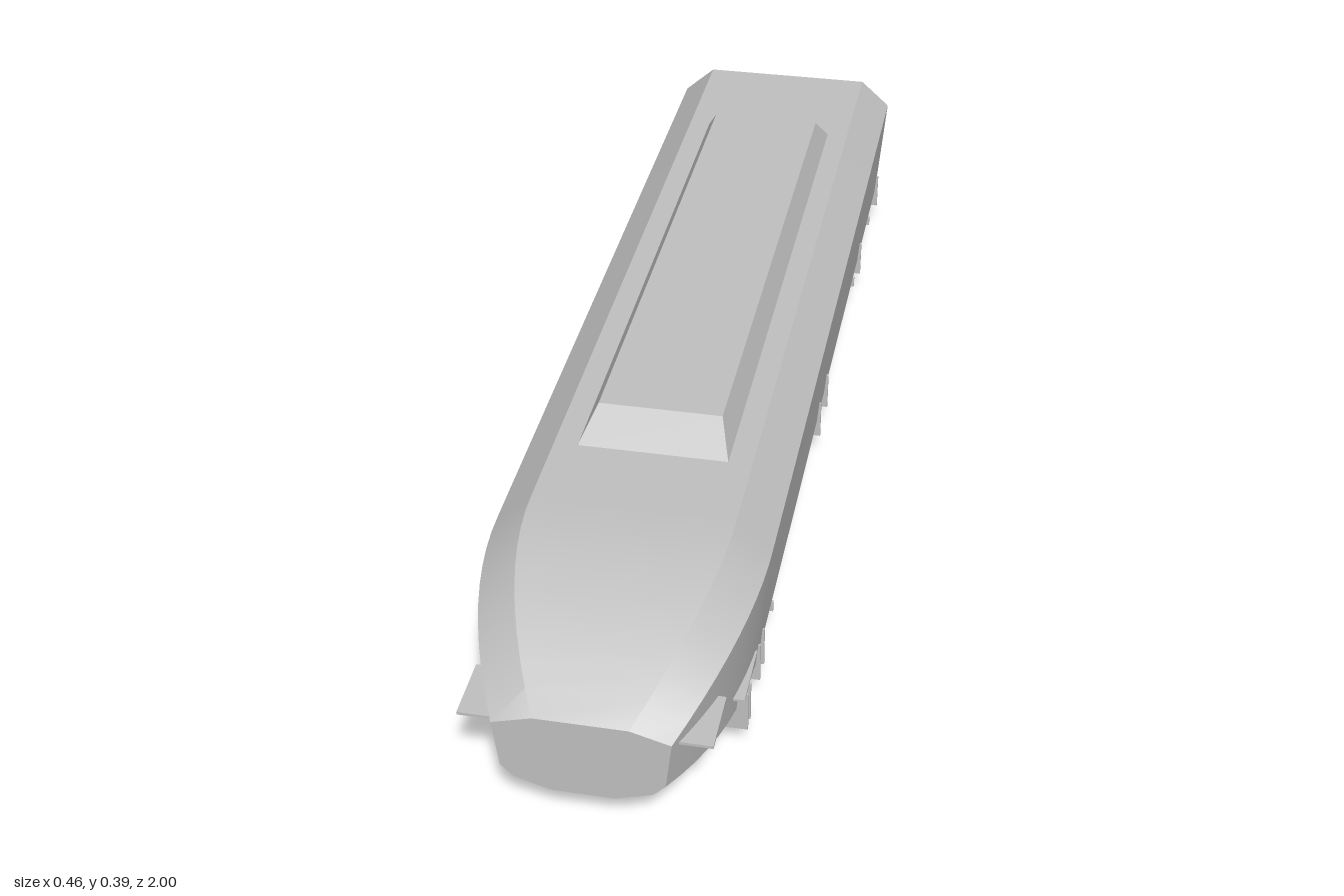
import * as THREE from 'three';
import { toCreasedNormals } from 'three/addons/utils/BufferGeometryUtils.js';

// Skin mirrored cross-sections: each is { z, half: [[x, y], ...] } from bottom to top, z rising
function loft(sections, crease) {
  const pos = [], idx = [];
  const n = sections[0].half.length * 2;
  for (const { z, half } of sections) {
    for (const [x, y] of half) pos.push(x, y, z);
    for (const [x, y] of [...half].reverse()) pos.push(-x, y, z);
  }
  const last = (sections.length - 1) * n;
  for (let i = 0; i < last; i += n) {
    for (let j = 0; j < n; j++) {
      const a = i + j, b = i + (j + 1) % n;
      idx.push(a, b, b + n, a, b + n, a + n);
    }
  }
  for (let j = 1; j < n - 1; j++) {
    idx.push(last, last + j, last + j + 1, 0, j + 1, j);
  }
  const g = new THREE.BufferGeometry();
  g.setAttribute('position', new THREE.Float32BufferAttribute(pos, 3));
  g.setIndex(idx);
  return toCreasedNormals(g, crease);
}

// Thin plate cut from a polygon, centred on its thickness
function plate(points, depth) {
  const shape = new THREE.Shape(points.map(([x, y]) => new THREE.Vector2(x, y)));
  return new THREE.ExtrudeGeometry(shape, { depth, bevelEnabled: false }).translate(0, 0, -depth / 2);
}

export function createModel() {
  const model = new THREE.Group();
  const grey = new THREE.MeshStandardMaterial({ color: 0xc0c0c0 });
  grey.name = 'hull grey';

  const add = (name, geometry, x = 0, y = 0, z = 0) => {
    const mesh = new THREE.Mesh(geometry, grey);
    mesh.name = name;
    mesh.position.set(x, y, z);
    model.add(mesh);
    return mesh;
  };

  // Hull: constant middle, tapering nose, slightly raised stern bottom
  const body = [[0.105, 0], [0.175, 0.04], [0.211, 0.08], [0.23, 0.297], [0.17, 0.35]];
  const nose = [[0.05, 0.085], [0.11, 0.104], [0.13, 0.125], [0.14, 0.211], [0.075, 0.23]];
  const sternLift = [0.025, 0.008, 0, 0, 0];
  const sections = [];
  for (let i = 0; i <= 4; i++) {
    const t = 1 - i / 4;
    sections.push({ z: -0.8 - 0.2 * t, half: body.map(([x, y], k) => [x, y + sternLift[k] * t * t]) });
  }
  for (let i = 0; i <= 10; i++) {
    const t = i / 10, f = Math.pow(t, 2.1);
    sections.push({
      z: 0.62 + 0.38 * t,
      half: body.map(([x, y], k) => [x + (nose[k][0] - x) * f, y + (nose[k][1] - y) * f]),
    });
  }
  add('hull', loft(sections, 0.3));

  // Raised roof housing with sloped ends and sides
  const low = [[0.13, 0.348], [0.13, 0.348]];
  const high = [[0.13, 0.348], [0.107, 0.394]];
  add('roofHousing', loft([
    { z: -0.735, half: low }, { z: -0.695, half: high },
    { z: 0.4, half: high }, { z: 0.47, half: low },
  ], 0.2));

  const bracketZ = [0.77, 0.745, 0.65, 0.61, -0.06, -0.16, -0.68, -0.99];
  for (const s of [1, -1]) {
    const side = s > 0 ? 'left' : 'right';
    const mirror = (pts) => pts.map(([x, y]) => [x * s, y]);

    // Horizontal fins on the nose
    const fin = plate(mirror([[0.13, -0.98], [0.2, -0.98], [0.2, -0.87], [0.16, -0.87]]), 0.005);
    add(side + 'NoseFin', fin.rotateX(-Math.PI / 2), 0, 0.2, 0);

    // Small low fins behind the nose
    const lowFin = plate(mirror([[0.17, -0.8], [0.217, -0.8], [0.217, -0.68], [0.19, -0.68]]), 0.004);
    add(side + 'LowFin', lowFin.rotateX(-Math.PI / 2), 0, 0.132, 0);

    // Triangular brackets along the lower edge
    const bracket = plate(mirror([[0.17, 0.045], [0.218, 0.045], [0.218, 0.12], [0.205, 0.12]]), 0.005);
    for (const z of bracketZ) add(side + 'Bracket', bracket, 0, 0, z);

    // Short studs between the brackets
    const stud = new THREE.BoxGeometry(0.012, 0.02, 0.006);
    for (const z of [0.49, -0.6, -0.87]) add(side + 'Stud', stud, s * 0.208, 0.07, z);
  }
  return model;
}
